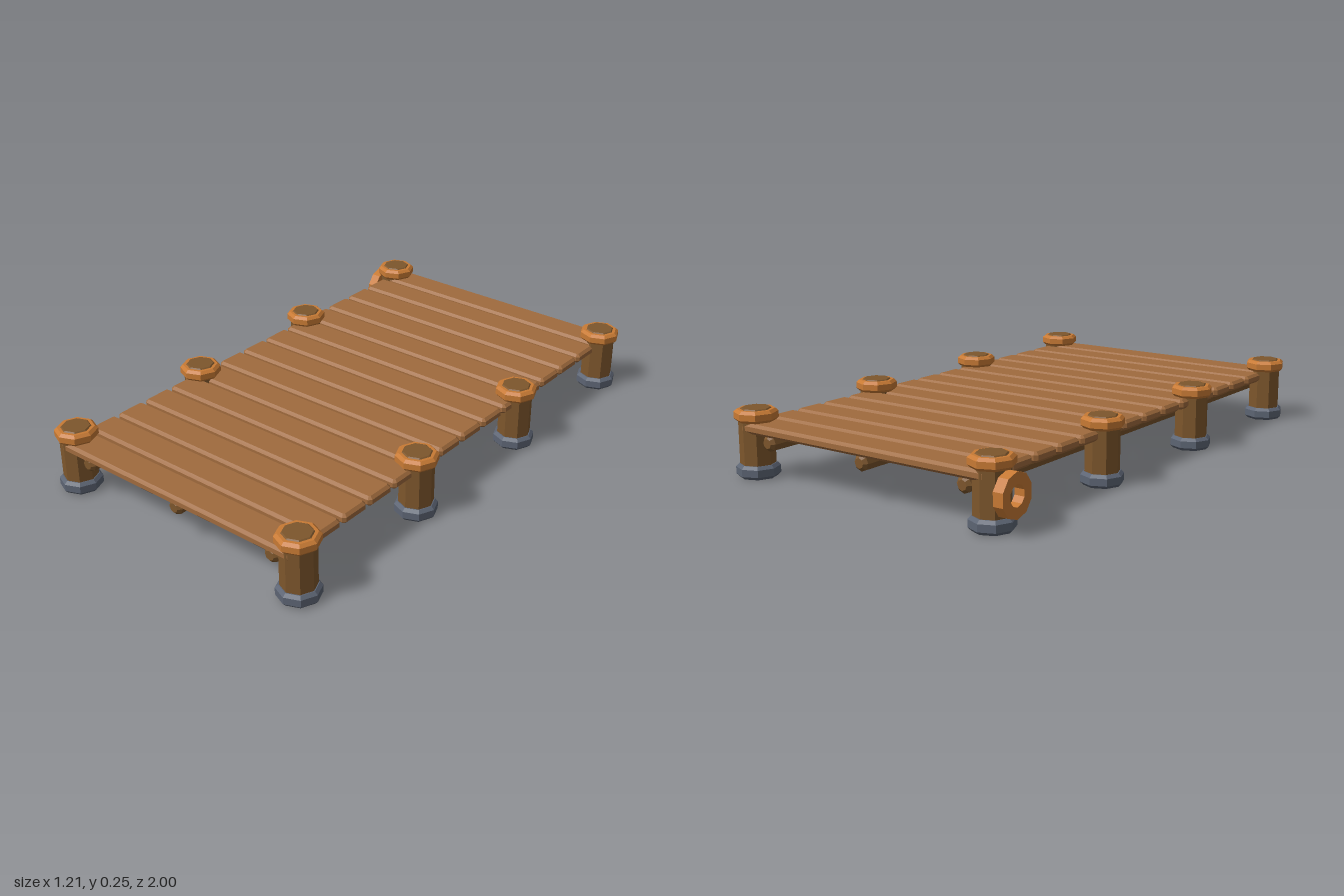
import * as THREE from 'three';

const material = (name, color) =>
  new THREE.MeshStandardMaterial({ name, color, flatShading: true });

// Faceted solid of revolution from [radius, height] pairs, bottom to top
const turned = (profile, sides, start = 0) =>
  new THREE.LatheGeometry(profile.map(([r, y]) => new THREE.Vector2(r, y)), sides, start);

// Box with all edges chamfered by c, centred on the origin
function chamferedBox(w, h, d, c) {
  const x = w / 2 - c, z = d / 2 - c, k = c * 0.5;
  const shape = new THREE.Shape([
    [-x + k, -z], [x - k, -z], [x, -z + k], [x, z - k],
    [x - k, z], [-x + k, z], [-x, z - k], [-x, -z + k],
  ].map(([a, b]) => new THREE.Vector2(a, b)));
  const geometry = new THREE.ExtrudeGeometry(shape, {
    depth: h - 2 * c, bevelEnabled: true, bevelSize: c, bevelThickness: c, bevelSegments: 1,
  });
  geometry.rotateX(-Math.PI / 2);
  geometry.center();
  return geometry;
}

export function createModel() {
  const model = new THREE.Group();
  model.name = 'woodenDock';

  const plankWood = material('plankWood', 0xa06b3d);
  const postWood = material('postWood', 0x7d562c);
  const orangeTrim = material('orangeTrim', 0xc87a34);
  const footStone = material('footStone', 0x5c6473);

  const add = (parent, name, geometry, mat, x = 0, y = 0, z = 0) => {
    const mesh = new THREE.Mesh(geometry, mat);
    mesh.name = name;
    mesh.position.set(x, y, z);
    parent.add(mesh);
    return mesh;
  };

  const cx = 0.01; // deck centre, shifted to balance the side ring

  // Deck planks
  const plank = chamferedBox(1.068, 0.037, 0.118, 0.01);
  for (let i = 0; i < 15; i++) {
    add(model, 'plank', plank, plankWood, cx, 0.1815, (i - 7) * 0.132);
  }

  // Octagonal beams running under the planks
  const beam = turned([[0, -0.96], [0.018, -0.96], [0.03, -0.948],
    [0.03, 0.948], [0.018, 0.96], [0, 0.96]], 8);
  beam.rotateX(Math.PI / 2);
  for (const x of [-0.4275, 0, 0.4275]) {
    add(model, 'supportBeam', beam, postWood, cx + x, 0.134, 0);
  }

  // Posts with a stone foot and a trim collar around the top
  const shaft = turned([[0, 0.002], [0.05, 0.002], [0.0625, 0.013],
    [0.0625, 0.234], [0.05, 0.246], [0, 0.246]], 8);
  const foot = turned([[0.048, 0], [0.066, 0], [0.077, 0.011],
    [0.077, 0.037], [0.066, 0.048], [0.048, 0.048]], 8);
  const collar = turned([[0.05, 0.2], [0.067, 0.2], [0.077, 0.21],
    [0.077, 0.232], [0.066, 0.242], [0.048, 0.242]], 8);
  for (const side of [-1, 1]) {
    for (const z of [-0.923, -0.308, 0.308, 0.923]) {
      const post = new THREE.Group();
      post.name = 'post';
      post.position.set(cx + side * 0.516, 0, z);
      add(post, 'postShaft', shaft, postWood);
      add(post, 'postFoot', foot, footStone);
      add(post, 'postCollar', collar, orangeTrim);
      model.add(post);
    }
  }

  // Ring hung on the outside of the back right post
  const ring = turned([[0.037, -0.019], [0.076, -0.019], [0.076, 0.019],
    [0.037, 0.019], [0.037, -0.019]], 10, Math.PI / 10);
  ring.rotateZ(Math.PI / 2);
  add(model, 'hangingRing', ring, orangeTrim, -0.584, 0.125, -0.925);

  return model;
}
